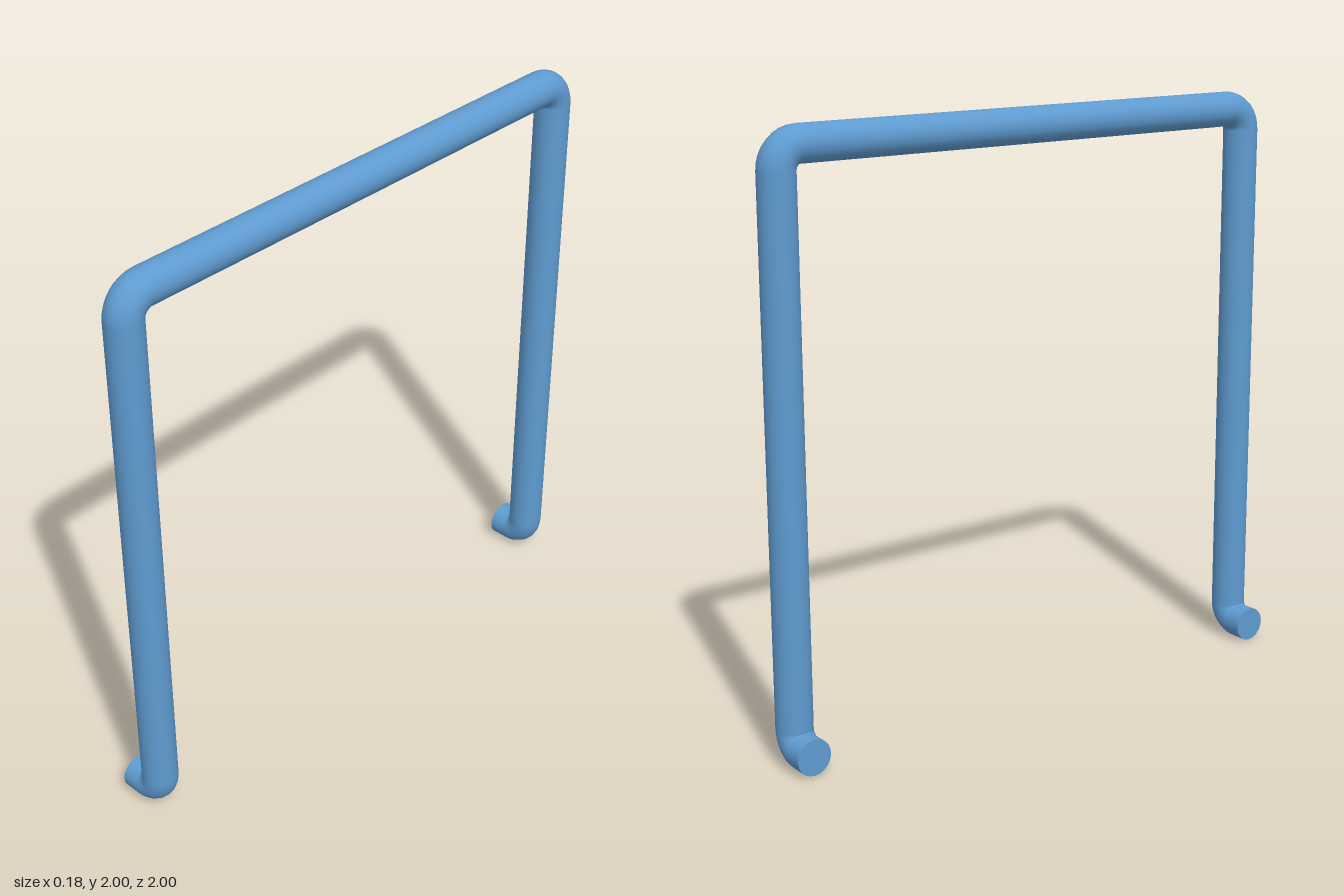
import * as THREE from 'three';

const R = 0.06;         // tube radius
const SIDES = 20;
const TOP_BEND = 0.075; // centreline radius of the upper corners
const FOOT_BEND = 0.061; // centreline radius of the lower corners
const X = 0.025;        // plane of the frame
const LEG_Z = 1 - R;
const BAR_Y = 2 - R;
const END_X = -0.09;    // where the feet are cut off

export function createModel() {
  const group = new THREE.Group();
  const material = new THREE.MeshStandardMaterial({ color: 0x5f9bd0 });

  const add = (name, geometry, x, y, z) => {
    const mesh = new THREE.Mesh(geometry, material);
    mesh.name = name;
    mesh.position.set(x, y, z);
    group.add(mesh);
    return mesh;
  };
  const pipe = (length) => new THREE.CylinderGeometry(R, R, length, SIDES, 1, true);
  const elbow = (bend) => new THREE.TorusGeometry(bend, R, SIDES, 8, Math.PI / 2);

  // Top rail
  add('topRail', pipe(2 * (LEG_Z - TOP_BEND)), X, BAR_Y, 0).rotation.x = Math.PI / 2;

  for (const [side, s] of [['front', 1], ['back', -1]]) {
    const z = s * LEG_Z;

    // Upright between the two bends
    const low = R + FOOT_BEND, high = BAR_Y - TOP_BEND;
    add(side + 'Leg', pipe(high - low), X, (low + high) / 2, z);

    // Corner joining the leg to the top rail
    add(side + 'TopBend', elbow(TOP_BEND), X, high, z - s * TOP_BEND).rotation.y = -s * Math.PI / 2;

    // Corner turning the leg sideways into the foot
    const footX = X - FOOT_BEND;
    add(side + 'FootBend', elbow(FOOT_BEND), footX, low, z).rotation.z = -Math.PI / 2;

    // Short foot stub with a flat end
    add(side + 'Foot', pipe(footX - END_X), (footX + END_X) / 2, R, z).rotation.z = Math.PI / 2;
    add(side + 'FootCap', new THREE.CircleGeometry(R, SIDES), END_X, R, z).rotation.y = -Math.PI / 2;
  }
  return group;
}
